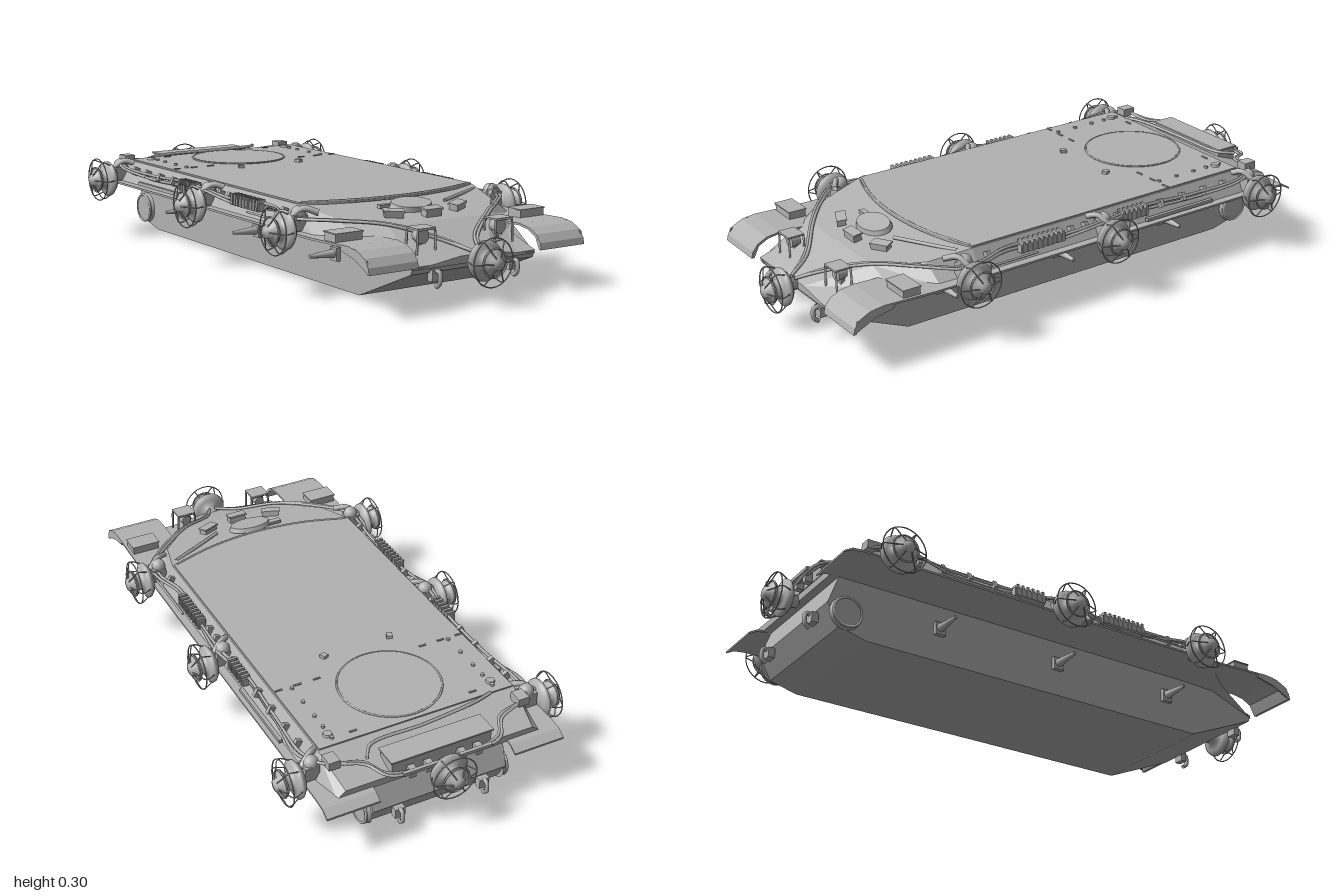
import * as THREE from 'three';

const steel = new THREE.MeshStandardMaterial({ color: 0xb2b2b2 });
steel.name = 'plain grey steel';
steel.side = THREE.DoubleSide;
const V = (x, y, z) => new THREE.Vector3(x, y, z);

function add(parent, name, geo, x = 0, y = 0, z = 0, rx = 0, ry = 0, rz = 0) {
  const m = new THREE.Mesh(geo, steel);
  m.name = name;
  m.position.set(x, y, z);
  m.rotation.set(rx, ry, rz);
  parent.add(m);
  return m;
}
const box = (w, h, d) => new THREE.BoxGeometry(w, h, d);
const cyl = (r1, r2, h, n = 20) => new THREE.CylinderGeometry(r1, r2, h, n);
const tube = (pts, r, n = 40) =>
  new THREE.TubeGeometry(new THREE.CatmullRomCurve3(pts.map(p => V(...p))), n, r, 6);

// Side profile of (z, y) points, extruded from x0 to x1
function profile(pts, x0, x1) {
  const s = new THREE.Shape(pts.map(p => new THREE.Vector2(...p)));
  const g = new THREE.ExtrudeGeometry(s, { depth: x1 - x0, bevelEnabled: false });
  return g.rotateY(-Math.PI / 2).translate(x1, 0, 0);
}

// Trapezoid loft through stations [z, lowerHalf, lowerY, upperHalf, upperY]
function loft(stations) {
  const pos = [];
  const rings = stations.map(([z, a, ya, b, yb]) =>
    [[a, ya, z], [b, yb, z], [-b, yb, z], [-a, ya, z]]);
  const quad = (a, b, c, d) => pos.push(...a, ...b, ...c, ...a, ...c, ...d);
  for (let i = 0; i < rings.length - 1; i++)
    for (let j = 0; j < 4; j++) {
      const k = (j + 1) % 4;
      quad(rings[i][j], rings[i][k], rings[i + 1][k], rings[i + 1][j]);
    }
  const last = rings[rings.length - 1];
  quad(rings[0][3], rings[0][2], rings[0][1], rings[0][0]);
  quad(last[0], last[1], last[2], last[3]);
  const g = new THREE.BufferGeometry();
  g.setAttribute('position', new THREE.Float32BufferAttribute(pos, 3));
  g.computeVertexNormals();
  return g;
}

// Round outboard unit with an open wire guard, pointing along local +z
function outboardUnit(name) {
  const g = new THREE.Group();
  g.name = name;
  const prof = [[0, -0.03], [0.022, -0.03], [0.022, 0], [0.05, 0.004], [0.064, 0.016], [0.066, 0.026],
    [0.05, 0.034], [0.03, 0.038], [0.028, 0.058], [0.044, 0.062], [0.042, 0.07], [0.024, 0.076],
    [0.02, 0.092], [0, 0.095]].map(p => new THREE.Vector2(...p));
  add(g, 'drum', new THREE.LatheGeometry(prof, 28).rotateX(Math.PI / 2));
  add(g, 'guardRing', new THREE.TorusGeometry(0.078, 0.0022, 6, 36), 0, 0, 0.062);
  add(g, 'hubRing', new THREE.TorusGeometry(0.046, 0.003, 6, 28), 0, 0, 0.07);
  for (let i = 0; i < 6; i++) {
    const a = i * Math.PI / 3, c = Math.cos(a), s = Math.sin(a);
    add(g, 'guardSpoke', tube([[0.02 * c, 0.02 * s, 0.089], [0.05 * c, 0.05 * s, 0.075],
      [0.078 * c, 0.078 * s, 0.062], [0.062 * c, 0.062 * s, 0.022]], 0.0022, 10));
  }
  return g;
}

export function createModel() {
  const root = new THREE.Group();
  root.name = 'trackedHull';

  // Hull tub and sloped upper hull
  add(root, 'lowerHull', profile([[0.6, 0], [0.87, 0.115], [0.88, 0.14], [0.7, 0.2], [-0.85, 0.2],
    [-0.885, 0.1], [-0.84, 0.025], [-0.74, 0]], -0.245, 0.245));
  add(root, 'upperHull', loft([[-0.88, 0.37, 0.2, 0.34, 0.225], [-0.73, 0.405, 0.2, 0.36, 0.28],
    [0.42, 0.405, 0.2, 0.36, 0.28], [0.57, 0.4, 0.2, 0.32, 0.256], [0.7, 0.3, 0.195, 0.2, 0.235],
    [0.88, 0.245, 0.13, 0.06, 0.155]]));

  // Roof plate with curved front edge
  const roof = new THREE.Shape();
  roof.moveTo(-0.355, 0.73);
  roof.lineTo(-0.355, -0.42);
  roof.quadraticCurveTo(0, -0.56, 0.355, -0.42);
  roof.lineTo(0.355, 0.73);
  add(root, 'roofPlate', new THREE.ExtrudeGeometry(roof, { depth: 0.01, bevelEnabled: false, curveSegments: 24 })
    .rotateX(-Math.PI / 2), 0, 0.275, 0);
  add(root, 'roofFrontRim', tube([[-0.345, 0.285, 0.42], [-0.18, 0.285, 0.47], [0, 0.285, 0.488],
    [0.18, 0.285, 0.47], [0.345, 0.285, 0.42]], 0.004));

  // Turret opening cover
  add(root, 'ringCover', cyl(0.17, 0.17, 0.006, 56), 0, 0.286, -0.54);
  add(root, 'ringEdge', new THREE.TorusGeometry(0.173, 0.0035, 6, 56), 0, 0.287, -0.54, Math.PI / 2);

  // Driver hatch, three periscopes and splash bar
  add(root, 'driverHatch', cyl(0.075, 0.082, 0.016, 28), -0.015, 0.268, 0.565, 0.2).scale.z = 0.65;
  add(root, 'hatchHinge', box(0.05, 0.012, 0.02), -0.105, 0.268, 0.545);
  for (const [x, z, ry] of [[0, 0.655, 0], [0.13, 0.625, 0.45], [-0.13, 0.625, -0.45]]) {
    add(root, 'periscope', box(0.062, 0.026, 0.03), x, 0.252, z, 0.15, ry);
    add(root, 'periscopeHood', box(0.07, 0.006, 0.036), x, 0.267, z, 0.15, ry);
  }
  add(root, 'splashBar', tube([[0.12, 0.268, 0.57], [0.33, 0.272, 0.46]], 0.007, 2));

  for (const s of [1, -1]) {
    // Fender strip with curved front flap and dipped rear end
    const fender = profile([[0.91, 0.143], [0.905, 0.165], [0.885, 0.19], [0.85, 0.207], [0.8, 0.214],
      [0.6, 0.207], [-0.86, 0.207], [-0.9, 0.203], [-0.93, 0.185], [-0.93, 0.178], [-0.9, 0.195],
      [-0.86, 0.2], [0.6, 0.2], [0.8, 0.207], [0.845, 0.2], [0.88, 0.182], [0.9, 0.143]],
      s > 0 ? 0.245 : -0.43, s > 0 ? 0.43 : -0.245);
    add(root, 'fender', fender);
    add(root, 'fenderFrontLip', profile([[0.91, 0.143], [0.895, 0.185], [0.83, 0.211], [0.76, 0.205],
      [0.76, 0.195], [0.83, 0.18]], s > 0 ? 0.424 : -0.43, s > 0 ? 0.43 : -0.424));
    add(root, 'fenderBox', box(0.1, 0.028, 0.062), s * 0.37, 0.222, 0.69);
    add(root, 'fenderBoxLid', box(0.106, 0.004, 0.068), s * 0.37, 0.237, 0.69);

    // Outboard units with swing arms and domed brackets
    for (const z of [0.475, 0.095, -0.75].map(v => v === 0.095 ? -0.09 : v)) {
      const u = outboardUnit('sideUnit');
      u.position.set(s * 0.428, 0.215, z);
      u.rotation.y = s * Math.PI / 2;
      root.add(u);
      add(root, 'unitBracket', box(0.05, 0.05, 0.05), s * 0.4, 0.235, z);
      add(root, 'unitArm', tube([[s * 0.35, 0.268, z + 0.05], [s * 0.39, 0.28, z + 0.02],
        [s * 0.43, 0.25, z]], 0.011, 10));
      add(root, 'unitCap', new THREE.SphereGeometry(0.026, 14, 8), s * 0.395, 0.262, z);
    }

    // Paired cables around the hull edge, with clamps
    for (const k of [0, 1]) {
      const o = k * 0.014;
      add(root, 'cable', tube([[s * 0.012, 0.165, 0.885], [s * (0.06 + o), 0.195, 0.8], [s * (0.19 + o), 0.24, 0.7],
        [s * (0.31 + o), 0.25, 0.6], [s * (0.4 + o), 0.25, 0.5], [s * (0.405 + o), 0.25, 0.42],
        [s * 0.385, 0.262 - o, 0.3], [s * 0.395, 0.25 - o, 0.1], [s * (0.405 + o), 0.262, -0.09],
        [s * 0.385, 0.262 - o, -0.25], [s * 0.392, 0.254 - o, -0.5], [s * (0.4 + o), 0.262, -0.7],
        [s * 0.36, 0.272, -0.79], [s * 0.25, 0.262, -0.82 - o], [s * 0.2, 0.25, -0.89 - o],
        [s * 0.02, 0.235, -0.91]], 0.0055, 110));
    }
    for (const z of [0.38, 0.04, -0.02, -0.16, -0.35, -0.45, -0.55, -0.64])
      add(root, 'cableClamp', box(0.022, 0.03, 0.014), s * 0.387, 0.252, z, 0, 0, s * 0.48);

    // Ribbed side stowage racks
    for (const [z0, n] of [[0.17, 9], [-0.22, 6]]) {
      const len = n * 0.02;
      add(root, 'sideRack', box(0.026, 0.028, len), s * 0.395, 0.248, z0);
      for (let i = 0; i < n; i++)
        add(root, 'rackRib', box(0.032, 0.04, 0.009), s * 0.395, 0.254, z0 - len / 2 + 0.01 + i * 0.02);
    }
    add(root, 'sideRod', cyl(0.004, 0.004, 0.24, 8), s * 0.418, 0.228, 0.32, Math.PI / 2);
    add(root, 'sideRail', box(0.012, 0.012, 0.3), s * 0.41, 0.218, -0.42);

    // Roller stub axles on the tub
    for (const z of [0.475, 0, -0.475]) {
      add(root, 'axlePlate', box(0.02, 0.045, 0.038), s * 0.25, 0.115, z);
      add(root, 'stubAxle', cyl(0.006, 0.016, 0.1, 12), s * 0.302, 0.117, z, 0, 0, -s * Math.PI / 2);
    }

    // Final drive housing
    add(root, 'driveHousing', cyl(0.05, 0.057, 0.02, 32), s * 0.253, 0.075, -0.82, 0, 0, -s * Math.PI / 2);
    add(root, 'driveRim', new THREE.TorusGeometry(0.05, 0.005, 6, 32), s * 0.261, 0.075, -0.82, 0, Math.PI / 2);

    // Headlight inside its bent guard
    add(root, 'headlight', cyl(0.024, 0.018, 0.035, 18), s * 0.155, 0.216, 0.795, Math.PI / 2);
    add(root, 'headlightStand', box(0.014, 0.03, 0.016), s * 0.155, 0.192, 0.79);
    for (const z of [0.775, 0.83])
      add(root, 'headlightGuard', new THREE.TubeGeometry(new THREE.CatmullRomCurve3([V(s * 0.12, 0.165, z),
        V(s * 0.122, 0.24, z), V(s * 0.188, 0.24, z), V(s * 0.192, 0.165, z)], false, 'catmullrom', 0.1), 20, 0.004, 6));
    add(root, 'guardBar', box(0.07, 0.006, 0.06), s * 0.155, 0.243, 0.803);

    // Tow hooks at both ends
    for (const [z, y, d] of [[0.872, 0.105, 1], [-0.89, 0.075, -1]]) {
      add(root, 'towHookBase', box(0.036, 0.036, 0.024), s * 0.155, y, z);
      add(root, 'towHook', tube([[s * 0.155, y + 0.012, z], [s * 0.155, y + 0.014, z + d * 0.024],
        [s * 0.155, y - 0.022, z + d * 0.026], [s * 0.155, y - 0.035, z + d * 0.01]], 0.008, 12));
    }

    // Roof lugs, bolts and rear corner fittings
    add(root, 'roofLug', box(0.02, 0.012, 0.022), s * 0.125, 0.29, -0.315, 0, s * 0.4);
    add(root, 'cornerFitting', box(0.04, 0.03, 0.05), s * 0.345, 0.278, -0.79);
    add(root, 'cornerCap', cyl(0.014, 0.018, 0.014, 14), s * 0.3, 0.286, -0.68);
    for (const z of [-0.42, -0.5, -0.58, -0.64, -0.7])
      add(root, 'roofBolt', cyl(0.007, 0.007, 0.008, 8), s * 0.295, 0.288, z);
    for (const [x, z] of [[0.2, -0.41], [0.27, -0.41], [0.34, -0.41], [0.22, -0.7], [0.1, -0.41]])
      add(root, 'roofStrip', box(0.026, 0.004, 0.006), s * x, 0.287, z);
  }

  // Rear transverse stowage box and rear plate fittings
  add(root, 'rearBox', box(0.36, 0.05, 0.075), 0, 0.25, -0.845);
  add(root, 'rearBoxLid', box(0.37, 0.006, 0.085), 0, 0.277, -0.845);
  add(root, 'rearHose', tube([[-0.27, 0.285, -0.73], [-0.2, 0.287, -0.75], [0, 0.284, -0.77],
    [0.2, 0.284, -0.78], [0.24, 0.28, -0.83]], 0.006));
  for (const x of [-0.12, -0.06, 0.06, 0.12])
    add(root, 'rearBracket', box(0.024, 0.034, 0.024), x, 0.235, -0.9);
  add(root, 'rearCrossBar', box(0.32, 0.012, 0.012), 0, 0.25, -0.918);

  // End units
  const front = outboardUnit('frontUnit');
  front.position.set(0, 0.142, 0.905);
  const rear = outboardUnit('rearUnit');
  rear.position.set(0, 0.208, -0.905);
  rear.rotation.y = Math.PI;
  root.add(front, rear);
  return root;
}
